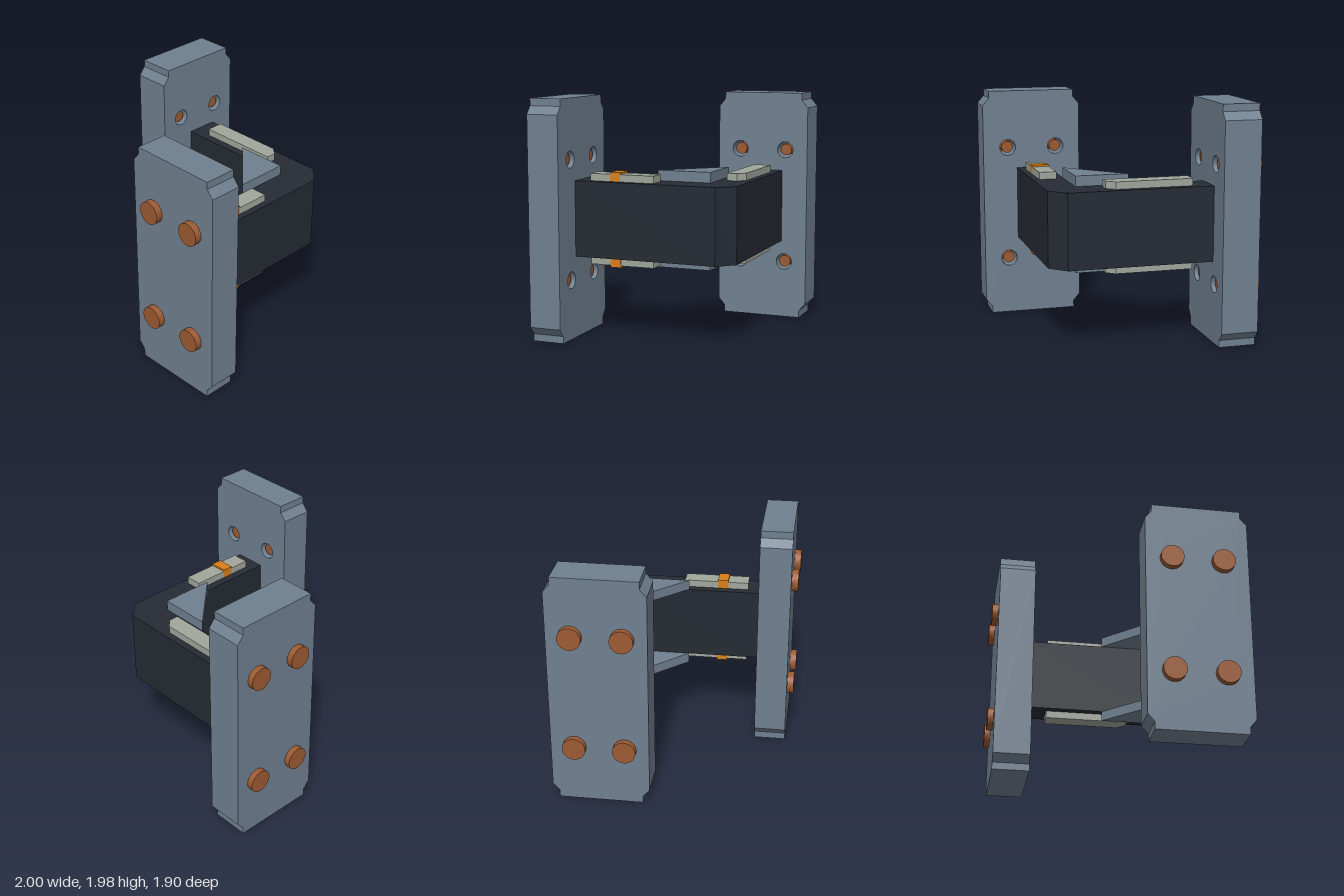
import * as THREE from 'three';

const paint = (color) => new THREE.MeshStandardMaterial({ color });
const steel = paint(0x708090);
const darkSteel = paint(0x252b34);
const paleStrip = paint(0xa0a69c);
const orange = paint(0xd87f1a);
const copper = paint(0x9c5a32);

const MID = 0.99; // mid height of the bracket

function addMesh(parent, name, geometry, material) {
  const mesh = new THREE.Mesh(geometry, material);
  mesh.name = name;
  parent.add(mesh);
  return mesh;
}

// Prism with a plan outline of [x, z] points, standing between two heights
function planPrism(points, y0, y1) {
  const shape = new THREE.Shape(points.map(([x, z]) => new THREE.Vector2(x, -z)));
  const geo = new THREE.ExtrudeGeometry(shape, { depth: y1 - y0, bevelEnabled: false });
  return geo.rotateX(-Math.PI / 2).translate(0, y0, 0);
}

// Drilled end plate with stepped corners and four bolts; outer side faces local +z
function makeFlange(name, width, thickness, headHeight, boltOffset) {
  const flange = new THREE.Group();
  flange.name = name;
  const w = width / 2, h = MID, notch = 0.055;
  const corner = [[w, h - 0.125], [w - notch, h - 0.06], [w - notch, h]];
  const flip = (sx, sy) => corner.map(([x, y]) => new THREE.Vector2(x * sx, y * sy));
  const shape = new THREE.Shape([
    ...flip(1, 1), ...flip(-1, 1).reverse(), ...flip(-1, -1), ...flip(1, -1).reverse(),
  ]);

  const recess = 0.03;
  for (const x of [-boltOffset, boltOffset]) {
    for (const y of [-0.495, 0.495]) {
      const hole = new THREE.Path();
      hole.absarc(x, y, 0.07, 0, Math.PI * 2, true);
      shape.holes.push(hole);

      const bolt = new THREE.Group();
      bolt.name = 'bolt';
      bolt.position.set(x, y, 0);
      const head = new THREE.CylinderGeometry(0.095, 0.095, headHeight, 32).rotateX(Math.PI / 2);
      addMesh(bolt, 'boltHead', head, copper).position.z = thickness + headHeight / 2;
      const length = thickness - recess;
      const shank = new THREE.CylinderGeometry(0.05, 0.05, length, 32).rotateX(Math.PI / 2);
      addMesh(bolt, 'boltShank', shank, copper).position.z = recess + length / 2;
      flange.add(bolt);
    }
  }
  const plate = new THREE.ExtrudeGeometry(shape, { depth: thickness, bevelEnabled: false, curveSegments: 16 });
  addMesh(flange, 'plate', plate, steel);
  return flange;
}

export function createModel() {
  const model = new THREE.Group();
  model.name = 'cornerBracket';

  // End plates: one facing forward, one facing the right side
  const front = makeFlange('frontFlange', 0.855, 0.27, 0.055, 0.213);
  front.position.set(0.572, MID, 0.62);
  const side = makeFlange('sideFlange', 0.805, 0.31, 0.05, 0.205);
  side.rotation.y = -Math.PI / 2;
  side.position.set(-0.64, MID, -0.548);
  model.add(front, side);

  // L-shaped arm with a bevelled outer corner
  addMesh(model, 'arm', planPrism([
    [-0.64, -0.728], [0.572, -0.728], [0.703, -0.592], [0.703, 0.62],
    [0.438, 0.62], [0.438, -0.458], [-0.64, -0.458],
  ], 0.678, 1.304), darkSteel);

  // Gussets and inlaid strips, repeated on the top and the underside
  const gusset = [[0, -0.458], [0.443, -0.458], [0.443, -0.005]];
  const backStrip = [[-0.48, -0.67], [0.167, -0.67], [0.235, -0.61], [0.235, -0.525], [-0.48, -0.525]];
  const sideStrip = [[0.505, -0.05], [0.65, -0.05], [0.65, 0.505], [0.505, 0.505]];
  const marker = [[0.504, 0.24], [0.651, 0.24], [0.651, 0.33], [0.504, 0.33]];
  const parts = [
    ['Gusset', gusset, 0.314, 0.4, steel],
    ['BackStrip', backStrip, 0.3, 0.374, paleStrip],
    ['SideStrip', sideStrip, 0.3, 0.374, paleStrip],
    ['Marker', marker, 0.3, 0.39, orange],
  ];
  for (const [name, outline, near, far, material] of parts) {
    addMesh(model, 'top' + name, planPrism(outline, MID + near, MID + far), material);
    addMesh(model, 'bottom' + name, planPrism(outline, MID - far, MID - near), material);
  }
  return model;
}
